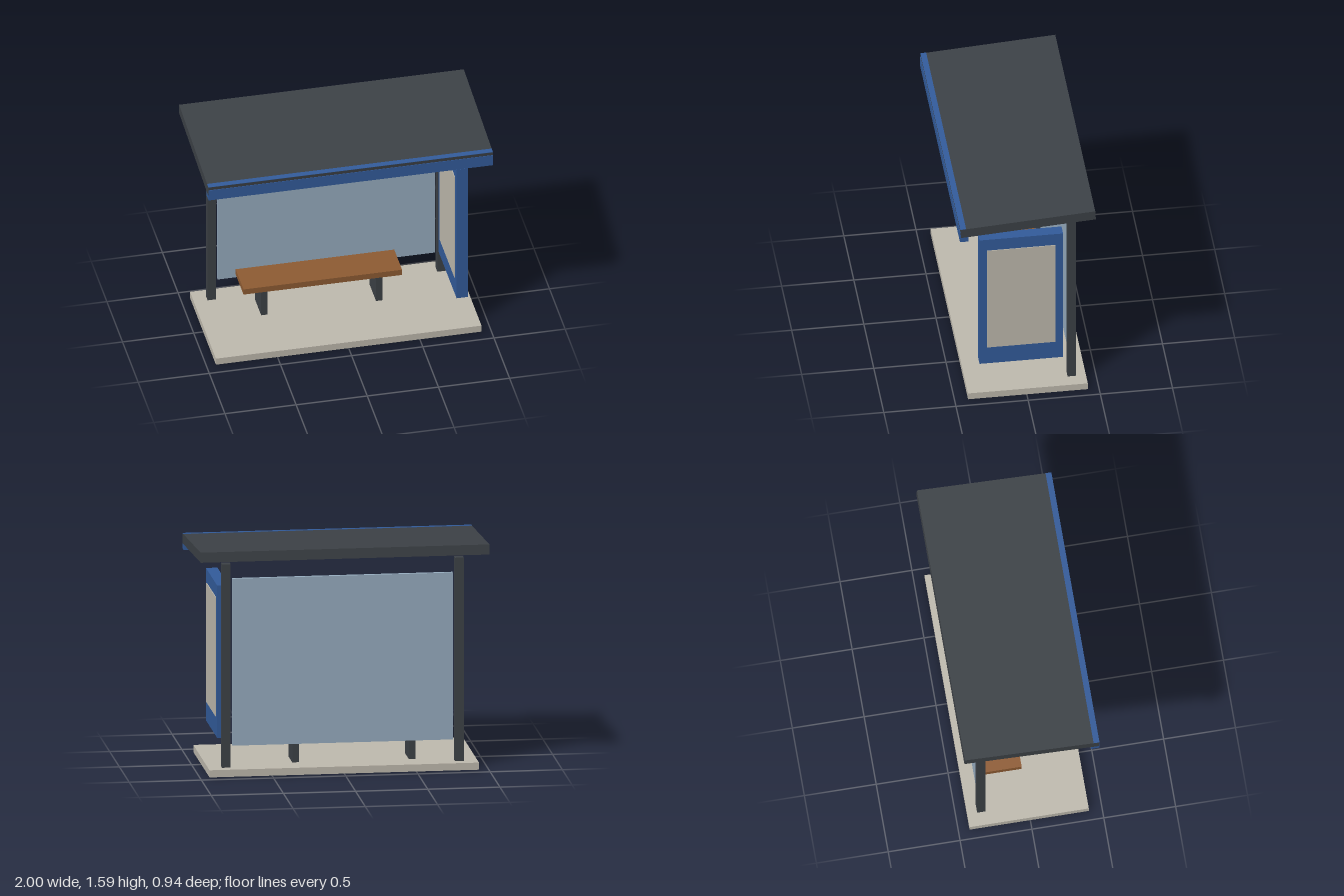
import * as THREE from 'three';

function material(name, color) {
  const m = new THREE.MeshStandardMaterial({ color });
  m.name = name;
  return m;
}

export function createModel() {
  const shelter = new THREE.Group();
  shelter.name = 'busShelter';

  const steel = material('darkSteel', 0x3d4247);
  const blue = material('bluePaint', 0x335c9c);
  const glass = material('paleGlass', 0x98aec1);
  const stone = material('concrete', 0xc0bbaf);
  const wood = material('wood', 0x8f5c33);

  // Box given by its [min, max] range on each axis
  function box(name, mat, [x0, x1], [y0, y1], [z0, z1], parent = shelter) {
    const mesh = new THREE.Mesh(new THREE.BoxGeometry(x1 - x0, y1 - y0, z1 - z0), mat);
    mesh.position.set((x0 + x1) / 2, (y0 + y1) / 2, (z0 + z1) / 2);
    mesh.name = name;
    parent.add(mesh);
    return mesh;
  }

  // Ground slab
  box('baseSlab', stone, [-0.933, 0.933], [0, 0.05], [-0.423, 0.407]);

  // Rear posts and the glass between them
  for (const [name, x] of [['rightPost', -0.807], ['leftPost', 0.807]]) {
    box(name, steel, [x - 0.03, x + 0.03], [0.05, 1.478], [-0.354, -0.296]);
  }
  box('backGlass', glass, [-0.763, 0.763], [0.2, 1.372], [-0.34, -0.314]);

  // Bench
  const bench = new THREE.Group();
  bench.name = 'bench';
  shelter.add(bench);
  box('benchSeat', wood, [-0.647, 0.467], [0.26, 0.303], [-0.263, -0.012], bench);
  for (const x of [-0.494, 0.313]) {
    box('benchLeg', steel, [x - 0.023, x + 0.023], [0.05, 0.26], [-0.244, -0.04], bench);
  }

  // Side display panel with a poster on both faces
  const display = new THREE.Group();
  display.name = 'displayPanel';
  shelter.add(display);
  box('displayFrame', blue, [0.778, 0.858], [0.24, 1.31], [-0.262, 0.317], display);
  box('innerPoster', stone, [0.773, 0.778], [0.38, 1.217], [-0.209, 0.264], display);
  box('outerPoster', stone, [0.858, 0.863], [0.38, 1.217], [-0.209, 0.264], display);

  // Roof sloping down to the front, with a painted stripe along its front edge
  const roof = new THREE.Group();
  roof.name = 'roof';
  roof.position.y = 1.5225;
  roof.rotation.x = 0.068;
  shelter.add(roof);
  box('roofSlab', steel, [-1, 1], [-0.035, 0.035], [-0.4685, 0.4685], roof);
  box('roofStripe', blue, [-1, 1], [0.035, 0.037], [0.428, 0.4685], roof);

  // Fascia under the front edge
  box('fascia', blue, [-0.999, 0.999], [1.42, 1.502], [0.413, 0.472]);

  return shelter;
}
